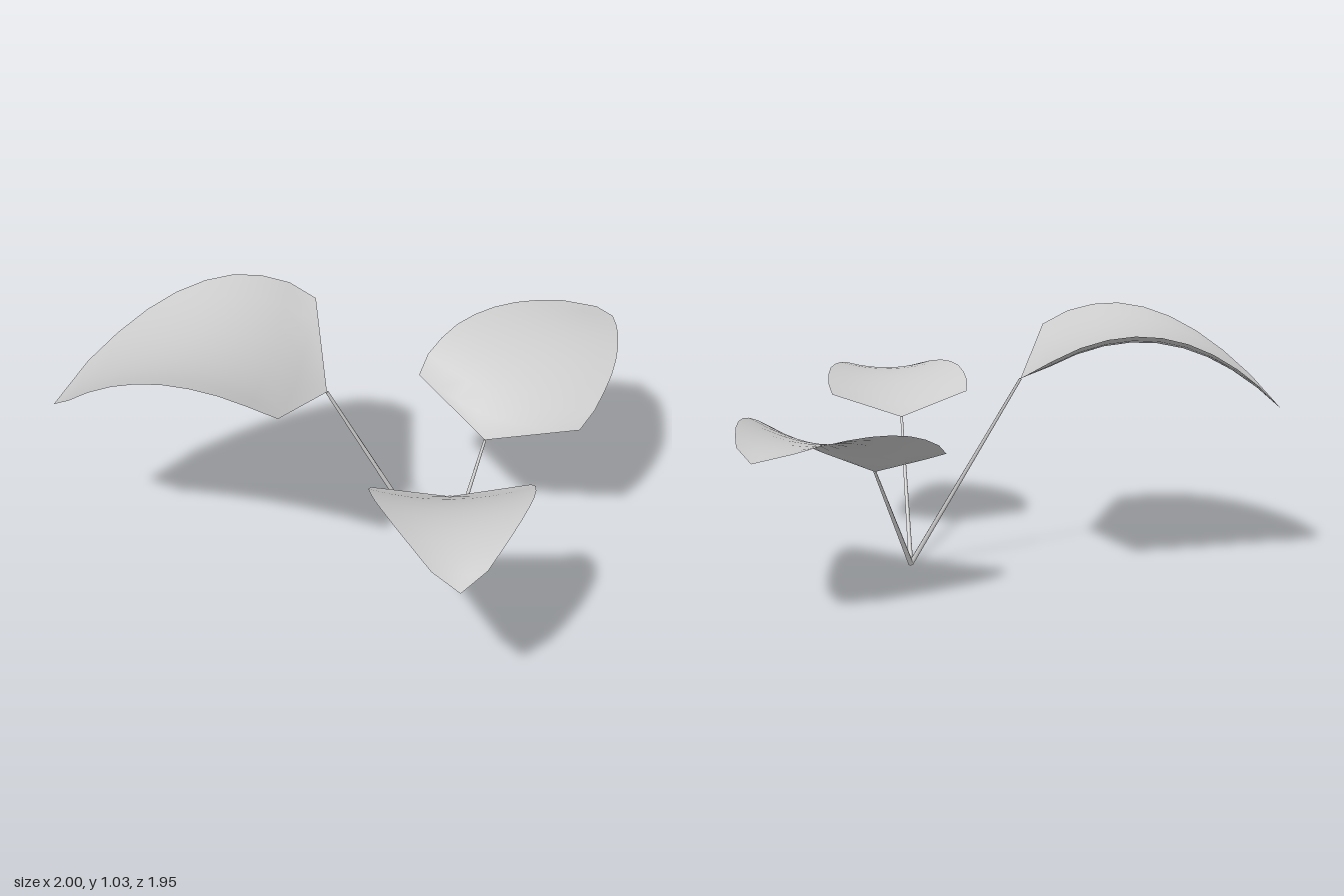
import * as THREE from 'three';
import { mergeVertices } from 'three/addons/utils/BufferGeometryUtils.js';

const material = new THREE.MeshStandardMaterial({ color: 0xcccccc, side: THREE.DoubleSide });
const ROOT = new THREE.Vector3(-0.15, 0.003, 0.33);

// Half width of a leaf blade at ten even steps from base to tip, for a length of 1
const HALF_WIDTH = [0, 0.428, 0.445, 0.435, 0.415, 0.38, 0.335, 0.28, 0.215, 0.142, 0];
const ROWS = HALF_WIDTH.length - 1;
const COLUMNS = 8;

// base: where stem meets blade; tip: end of blade; slope: how steeply the midrib
// starts; cup: how far the side edges rise above the midrib
const LEAVES = [
  { name: 'leftLeaf', base: [0.135, 0.455, 0.32], tip: [1.0, 0.665, 0.29], slope: 0.685, cup: 0.092 },
  { name: 'backLeaf', base: [-0.375, 0.785, -0.06], tip: [-0.905, 0.66, -0.98], slope: 0.725, cup: 0.083 },
  { name: 'frontLeaf', base: [-0.4, 0.56, 0.525], tip: [-0.93, 0.62, 0.94], slope: 0.7, cup: 0.075 },
];

// Arched, cupped blade running along +z from the origin
function bladeGeometry(length, endHeight, slope, cup) {
  const geometry = new THREE.PlaneGeometry(2, 1, COLUMNS, ROWS);
  const position = geometry.attributes.position;
  const droop = slope - endHeight / length;
  for (let i = 0; i < position.count; i++) {
    const side = position.getX(i);
    const t = 0.5 - position.getY(i);
    const width = HALF_WIDTH[Math.round(t * ROWS)];
    const midrib = slope * t - droop * t * t;
    const rise = cup * Math.pow(width / 0.445, 1.3) * side * side;
    position.setXYZ(i, side * width * length, (midrib + rise) * length, t * length);
  }
  // Weld the rows that shrink to a point, then smooth
  geometry.deleteAttribute('uv');
  geometry.deleteAttribute('normal');
  const welded = mergeVertices(geometry, 1e-5);
  welded.computeVertexNormals();
  return welded;
}

// Thin tapered stem between two points
function makeStem(from, to) {
  const direction = to.clone().sub(from);
  const stem = new THREE.Mesh(new THREE.CylinderGeometry(0.006, 0.011, direction.length(), 6), material);
  stem.position.copy(from).add(to).multiplyScalar(0.5);
  stem.quaternion.setFromUnitVectors(new THREE.Vector3(0, 1, 0), direction.normalize());
  stem.name = 'stem';
  return stem;
}

export function createModel() {
  const plant = new THREE.Group();
  plant.name = 'plant';
  for (const { name, base, tip, slope, cup } of LEAVES) {
    const leaf = new THREE.Group();
    leaf.name = name;
    const start = new THREE.Vector3(...base);
    const span = new THREE.Vector3(...tip).sub(start);
    const blade = new THREE.Mesh(bladeGeometry(Math.hypot(span.x, span.z), span.y, slope, cup), material);
    blade.name = 'blade';
    blade.position.copy(start);
    blade.rotation.y = Math.atan2(span.x, span.z);
    leaf.add(makeStem(ROOT, start), blade);
    plant.add(leaf);
  }
  return plant;
}
